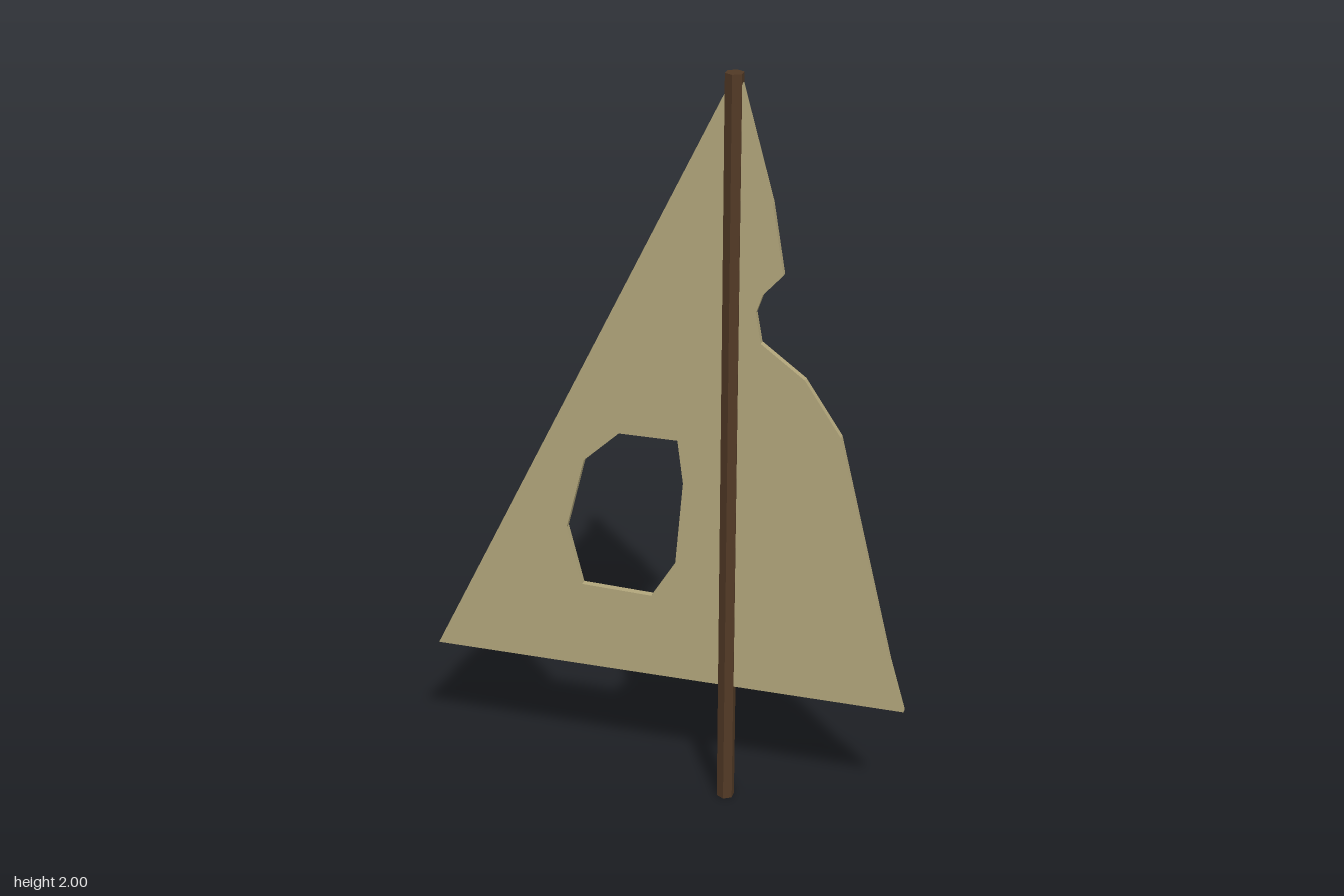
import * as THREE from 'three';

const points = (list) => list.map(([x, y]) => new THREE.Vector2(x, y));

export function createModel() {
  const model = new THREE.Group();
  model.name = 'tornSailOnMast';

  // Torn triangular cloth: straight left edge, ragged right edge, one hole
  const outline = new THREE.Shape(points([
    [-0.645, 0.345], [0.64, 0.345], [0.598, 0.49], [0.45, 1.1], [0.355, 1.243],
    [0.242, 1.327], [0.228, 1.405], [0.245, 1.455], [0.295, 1.51], [0.265, 1.69],
    [0.182, 1.99], [0.163, 1.99],
  ]));
  outline.holes.push(new THREE.Path(points([
    [-0.125, 1.038], [-0.22, 0.95], [-0.27, 0.75], [-0.23, 0.588],
    [-0.04, 0.582], [0.025, 0.688], [0.045, 0.92], [0.03, 1.038],
  ])));
  const thickness = 0.018;
  const sailGeometry = new THREE.ExtrudeGeometry(outline, { depth: thickness, bevelEnabled: false });
  sailGeometry.translate(0, 0, -thickness / 2);
  const sail = new THREE.Mesh(
    sailGeometry,
    new THREE.MeshStandardMaterial({ color: 0xb3a77c, flatShading: true }),
  );
  sail.name = 'sail';
  model.add(sail);

  // Six-sided wooden mast passing through the cloth
  const mast = new THREE.Mesh(
    new THREE.CylinderGeometry(0.024, 0.024, 2, 6),
    new THREE.MeshStandardMaterial({ color: 0x523a26, flatShading: true }),
  );
  mast.name = 'mast';
  mast.position.set(0.165, 1, 0);
  model.add(mast);

  return model;
}
